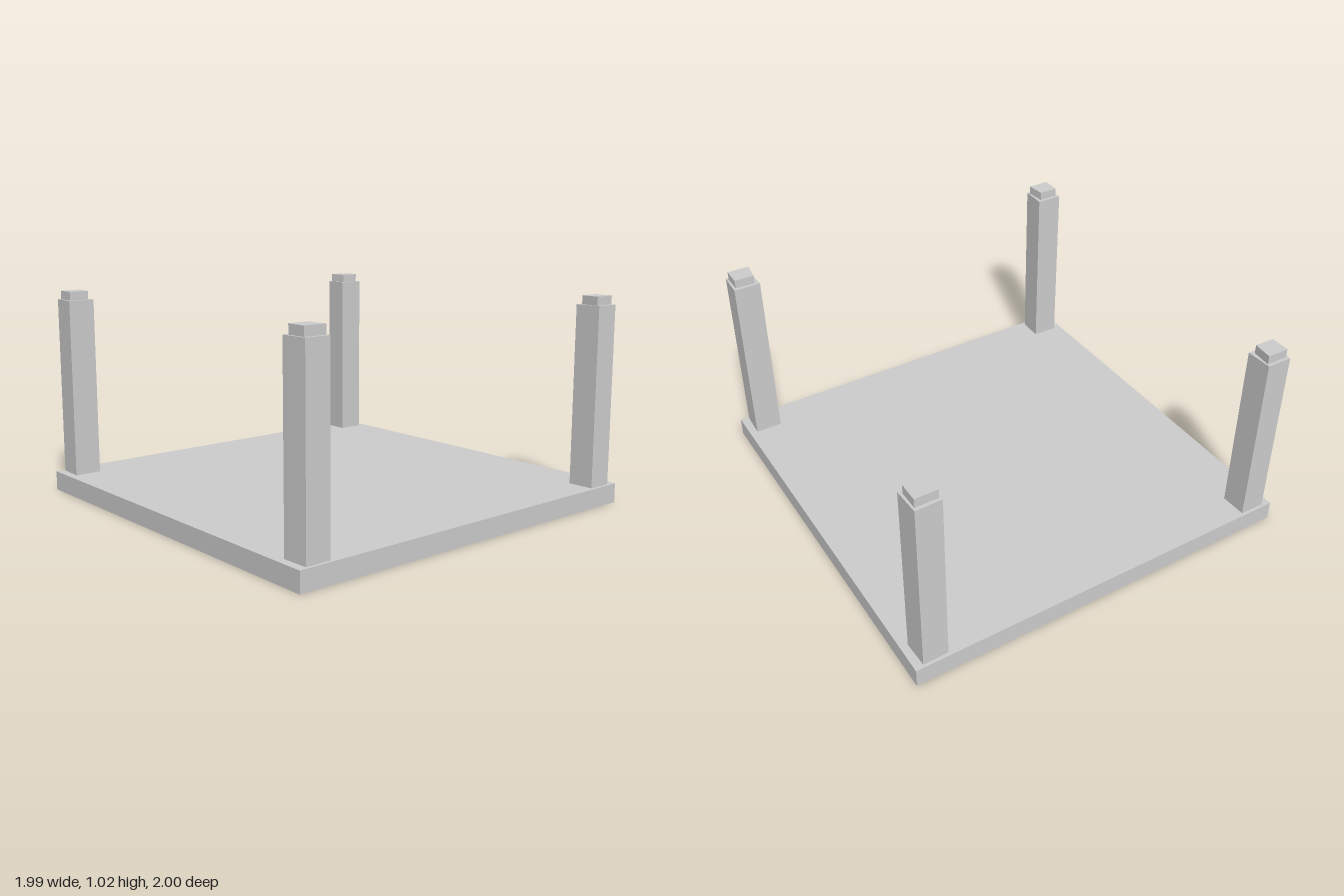
import * as THREE from 'three';

const material = new THREE.MeshStandardMaterial({ color: 0xcccccc, flatShading: true });

// Upright prism from a four-cornered footprint of [x, z] points, mirrored by sx and sz
function prism(name, corners, sx, sz, y0, y1) {
  const shape = new THREE.Shape(corners.map(([x, z]) => new THREE.Vector2(x * sx, -z * sz)));
  const geometry = new THREE.ExtrudeGeometry(shape, { depth: y1 - y0, bevelEnabled: false });
  geometry.rotateX(-Math.PI / 2).translate(0, y0, 0);
  const mesh = new THREE.Mesh(geometry, material);
  mesh.name = name;
  return mesh;
}

export function createModel() {
  const model = new THREE.Group();
  model.name = 'upturnedTable';

  // Square slab lying on the ground
  const top = new THREE.Mesh(new THREE.BoxGeometry(1.99, 0.096, 2), material);
  top.name = 'tabletop';
  top.position.y = 0.048;
  model.add(top);

  // Slightly uneven leg and foot footprints at the +x, +z corner
  const legCorners = [[0.828, 0.983], [0.952, 0.985], [0.957, 0.855], [0.824, 0.855]];
  const footCorners = [[0.835, 0.967], [0.943, 0.968], [0.943, 0.873], [0.845, 0.871]];

  // Four legs, each ending in a smaller foot
  for (const [sx, side] of [[1, 'Left'], [-1, 'Right']]) {
    for (const [sz, end] of [[1, 'front'], [-1, 'back']]) {
      const leg = new THREE.Group();
      leg.name = `${end}${side}Leg`;
      leg.add(prism('legPost', legCorners, sx, sz, 0.095, 0.98));
      leg.add(prism('foot', footCorners, sx, sz, 0.98, 1.023));
      model.add(leg);
    }
  }
  return model;
}
